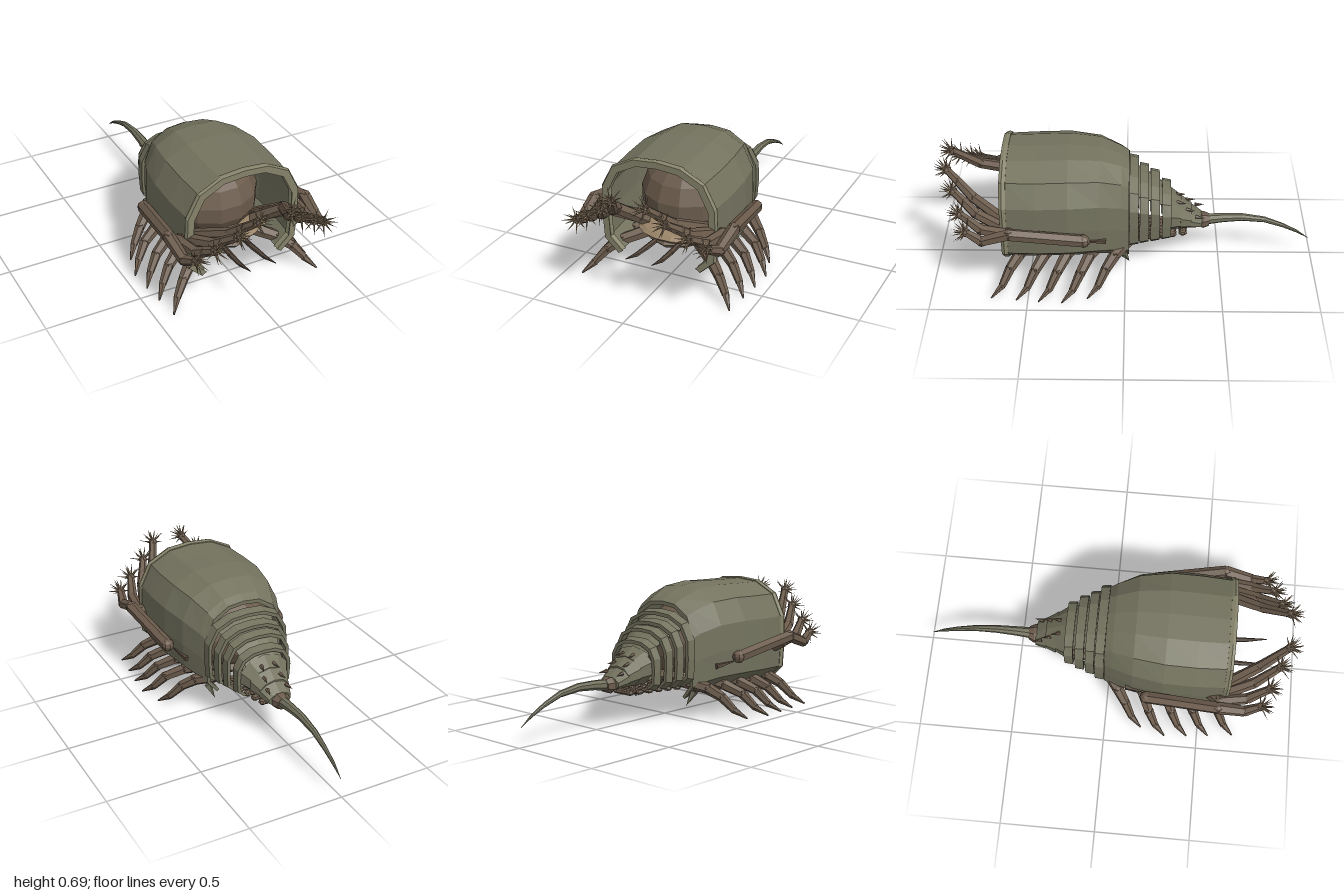
import * as THREE from 'three';

const mat = (color) => new THREE.MeshStandardMaterial({ color, flatShading: true, side: THREE.DoubleSide });
const SHELL = mat(0x74735f), RIM = mat(0x85836a), BROWN = mat(0x6b5b4c), DARK = mat(0x584a3e), TAN = mat(0x9a8468);
const V = (a) => new THREE.Vector3(...a);

// Skin a list of closed rings (arrays of [x, y, z]) and close both ends
function loft(rings) {
  const n = rings[0].length, pos = rings.flat(2), idx = [];
  for (let r = 0; r < rings.length - 1; r++) {
    for (let i = 0; i < n; i++) {
      const a = r * n + i, b = r * n + (i + 1) % n;
      idx.push(a, a + n, b, b, a + n, b + n);
    }
  }
  for (const [o, flip] of [[0, false], [(rings.length - 1) * n, true]]) {
    for (let i = 0; i < n / 2 - 1; i++) {
      const a = o + i, b = o + i + 1, c = o + n - 2 - i, d = o + n - 1 - i;
      idx.push(...(flip ? [a, c, b, a, d, c] : [a, b, c, a, c, d]));
    }
  }
  const g = new THREE.BufferGeometry();
  g.setAttribute('position', new THREE.Float32BufferAttribute(pos, 3));
  g.setIndex(idx);
  g.computeVertexNormals();
  return g;
}

// Arch outline: half width and height as fractions, mirrored to a full arch
const HALF = [[0.73, 0], [0.97, 0.13], [1, 0.39], [0.985, 0.65], [0.79, 0.87], [0.41, 0.98]];
const ARCH = [...HALF, [0, 1], ...HALF.slice().reverse().map(([x, y]) => [-x, y])];

// Closed ring for a hollow arch with wall thickness t
function archRing(z, w, bottom, top, t, outline = ARCH) {
  const h = top - bottom;
  const outer = outline.map(([x, y]) => [x * w, bottom + y * h, z]);
  const inner = outline.map(([x, y]) => [x * (w - t), bottom + t * 0.5 + y * (h - t * 1.5), z]);
  return [...outer, ...inner.reverse()];
}

// Ring of an upright ellipse, for parts that run along z
const ellipse = (z, y, rx, ry, n = 8) => Array.from({ length: n }, (_, i) => {
  const a = (i + 0.5) / n * Math.PI * 2;
  return [Math.cos(a) * rx, y + Math.sin(a) * ry, z];
});

export function createModel() {
  const model = new THREE.Group();

  const add = (parent, geometry, material, name) => {
    const m = new THREE.Mesh(geometry, material);
    m.name = name;
    parent.add(m);
    return m;
  };
  const ball = (parent, p, s, material, name, w = 8, h = 6) => {
    const m = add(parent, new THREE.SphereGeometry(1, w, h), material, name);
    m.position.set(...p);
    m.scale.set(...s);
    return m;
  };
  const rod = (parent, a, b, r0, r1, material, name, sides = 6) => {
    const p = V(a), d = V(b).sub(p);
    const m = add(parent, new THREE.CylinderGeometry(r1, r0, d.length(), sides), material, name);
    m.position.copy(p).addScaledVector(d, 0.5);
    m.quaternion.setFromUnitVectors(new THREE.Vector3(0, 1, 0), d.normalize());
    return m;
  };
  // Jointed limb through points with a radius at each
  const limb = (parent, pts, radii, material, name) => {
    const g = new THREE.Group();
    g.name = name;
    parent.add(g);
    for (let i = 0; i < pts.length - 1; i++) {
      rod(g, pts[i], pts[i + 1], radii[i], radii[i + 1], material, 'limbSegment');
      if (i) ball(g, pts[i], [radii[i], radii[i], radii[i]], material, 'joint', 6, 4);
    }
    return g;
  };

  // Carapace and its thick front rim
  const shellRows = [[0.61, 0.305, 0.145, 0.68], [0.45, 0.316, 0.15, 0.684], [0.29, 0.315, 0.155, 0.69],
    [0.13, 0.285, 0.15, 0.678], [0.02, 0.24, 0.13, 0.635], [-0.02, 0.222, 0.11, 0.61]];
  add(model, loft(shellRows.map(([z, w, b, t]) => archRing(z, w, b, t, 0.02))), SHELL, 'carapace');
  add(model, loft([[0.6, 0.308], [0.618, 0.316], [0.633, 0.308]].map(([z, w]) =>
    archRing(z, w, 0.14, w * 0.5 + 0.531, 0.034))), RIM, 'carapaceRim');

  // Soft body inside the shell, belly and front lip
  const body = new THREE.SphereGeometry(1, 14, 9);
  const p = body.attributes.position;
  for (let i = 0; i < p.count; i++) {
    const y = p.getY(i);
    p.setXYZ(i, p.getX(i) * 0.262, 0.36 + y * (y > 0 ? 0.255 : 0.2), 0.23 + p.getZ(i) * 0.3);
  }
  add(model, body, BROWN, 'body');
  ball(model, [0, 0.21, 0.27], [0.2, 0.06, 0.31], BROWN, 'belly', 12, 8);
  ball(model, [0, 0.243, 0.45], [0.195, 0.035, 0.14], TAN, 'frontLip', 14, 6);

  // Abdomen plates, each a hollow arch, joined by a narrow ridge on top
  const plates = [[-0.022, 0.235, 0.57], [-0.075, 0.207, 0.525], [-0.132, 0.185, 0.495], [-0.192, 0.157, 0.44]];
  plates.forEach(([z, w, top]) => add(model, loft([
    archRing(z, w, 0.175, top, 0.018), archRing(z - 0.047, w * 0.985, 0.185, top - 0.012, 0.018)]), SHELL, 'abdomenPlate'));
  const crown = ARCH.slice(4, -4);
  add(model, loft([[0, 0.215, 0.55], [-0.07, 0.19, 0.51], [-0.13, 0.17, 0.475], [-0.19, 0.145, 0.43], [-0.25, 0.13, 0.37]]
    .map(([z, w, top]) => archRing(z, w, 0.18, top, 0.015, crown))), SHELL, 'abdomenRidge');

  // Stepped rear cone, tail root and tail spine
  [[-0.235, 0.142, 0.4], [-0.29, 0.115, 0.355], [-0.345, 0.09, 0.305]].forEach(([z, w, top]) =>
    add(model, loft([[z, w, top], [z - 0.06, w * 0.74, top - 0.045]].map(([zz, ww, t]) =>
      ellipse(zz, (t + 0.195) / 2, ww, (t - 0.195) / 2, 10))), SHELL, 'rearRing'));
  for (const s of [-1, 1]) for (let i = 0; i < 3; i++) {
    rod(model, [s * (0.035 + 0.01 * i), 0.36 - i * 0.04, -0.27 - i * 0.05],
      [s * (0.045 + 0.01 * i), 0.355 - i * 0.04, -0.32 - i * 0.05], 0.012, 0, BROWN, 'rearSpine', 5);
  }
  add(model, loft([ellipse(-0.39, 0.225, 0.05, 0.036), ellipse(-0.415, 0.222, 0.052, 0.045),
    ellipse(-0.445, 0.222, 0.036, 0.034)]), BROWN, 'tailRoot');
  add(model, loft([[-0.43, 0.225, 0.03], [-0.52, 0.235, 0.025], [-0.62, 0.24, 0.021], [-0.74, 0.225, 0.016],
    [-0.84, 0.188, 0.012], [-0.92, 0.148, 0.008], [-0.985, 0.103, 0.001]]
    .map(([z, y, r]) => ellipse(z, y, r, r))), SHELL, 'tailSpine');

  // Rows of gill pads under the abdomen
  for (let i = 0; i < 6; i++) for (const x of [-0.115, -0.07, -0.024, 0.024, 0.07, 0.115]) {
    ball(model, [x * (1 - i * 0.12), 0.168, -0.03 - i * 0.055], [0.024 - i * 0.001, 0.014, 0.024], BROWN, 'gillPad', 7, 4);
  }

  // Grasping arms, outermost first: shoulder, elbow, wrist, hand
  const arms = [
    [[0.335, 0.325, 0.21], [0.38, 0.395, 0.58], [0.37, 0.345, 0.72], [0.35, 0.385, 0.8]],
    [[0.17, 0.255, 0.42], [0.33, 0.36, 0.59], [0.31, 0.375, 0.73], [0.27, 0.44, 0.835]],
    [[0.16, 0.26, 0.45], [0.29, 0.36, 0.6], [0.235, 0.42, 0.76], [0.172, 0.512, 0.875]],
    [[0.15, 0.265, 0.47], [0.25, 0.375, 0.6], [0.16, 0.47, 0.78], [0.092, 0.59, 0.91]],
  ];
  // Walking legs: foot x, foot z
  const feet = [[0.41, 0.195], [0.445, 0.325], [0.437, 0.445], [0.425, 0.56], [0.41, 0.69]];

  for (const s of [-1, 1]) {
    const side = new THREE.Group();
    side.name = s > 0 ? 'leftLimbs' : 'rightLimbs';
    model.add(side);
    const mx = ([x, y, z]) => [x * s, y, z];

    arms.forEach((pts, k) => {
      const arm = limb(side, pts.map(mx), [0.033, 0.032, 0.028, 0.02], BROWN, 'graspingArm');
      if (k === 0) ball(arm, mx(pts[0]), [0.034, 0.034, 0.034], BROWN, 'shoulder', 8, 6);
      // Spiny hand: a fan of thin cones around the arm's direction
      const tip = V(pts[3]), dir = tip.clone().sub(V(pts[2])).normalize().add(new THREE.Vector3(0, 0.1, 0.5)).normalize();
      const turn = new THREE.Quaternion().setFromUnitVectors(new THREE.Vector3(0, 0, 1), dir);
      ball(arm, mx(pts[3]), [0.024, 0.024, 0.024], BROWN, 'palm', 7, 5);
      for (let i = 0; i < 16; i++) {
        const a = i * 2.4, spread = 0.25 + 1.15 * (i / 15);
        const d = new THREE.Vector3(Math.cos(a) * Math.sin(spread), Math.sin(a) * Math.sin(spread), Math.cos(spread)).applyQuaternion(turn);
        const end = tip.clone().addScaledVector(d, 0.078);
        rod(arm, mx(pts[3]), mx(end.toArray()), 0.007, 0, TAN, 'handSpine', 4);
      }
    });

    feet.forEach(([x, z]) => limb(side, [[0.12, 0.215, z - 0.24], [0.25, 0.17, z - 0.14], [x - 0.1, 0.125, z - 0.095],
      [x - 0.045, 0.055, z - 0.055], [x, 0.008, z]].map(mx), [0.035, 0.031, 0.026, 0.019, 0.004], BROWN, 'walkingLeg'));

    // Feelers, rear corner spikes and small side spikes on the shell
    limb(side, [[0.06, 0.205, 0.52], [0.065, 0.21, 0.63], [0.068, 0.22, 0.73], [0.07, 0.248, 0.83]].map(mx),
      [0.014, 0.014, 0.011, 0.002], DARK, 'feeler');
    rod(side, mx([0.2, 0.15, 0.01]), mx([0.175, 0.075, -0.022]), 0.022, 0, SHELL, 'cornerSpike', 5);
    rod(side, mx([0.275, 0.28, 0.1]), mx([0.3, 0.295, 0.21]), 0.016, 0.003, DARK, 'sideSpike', 5);
  }
  return model;
}
